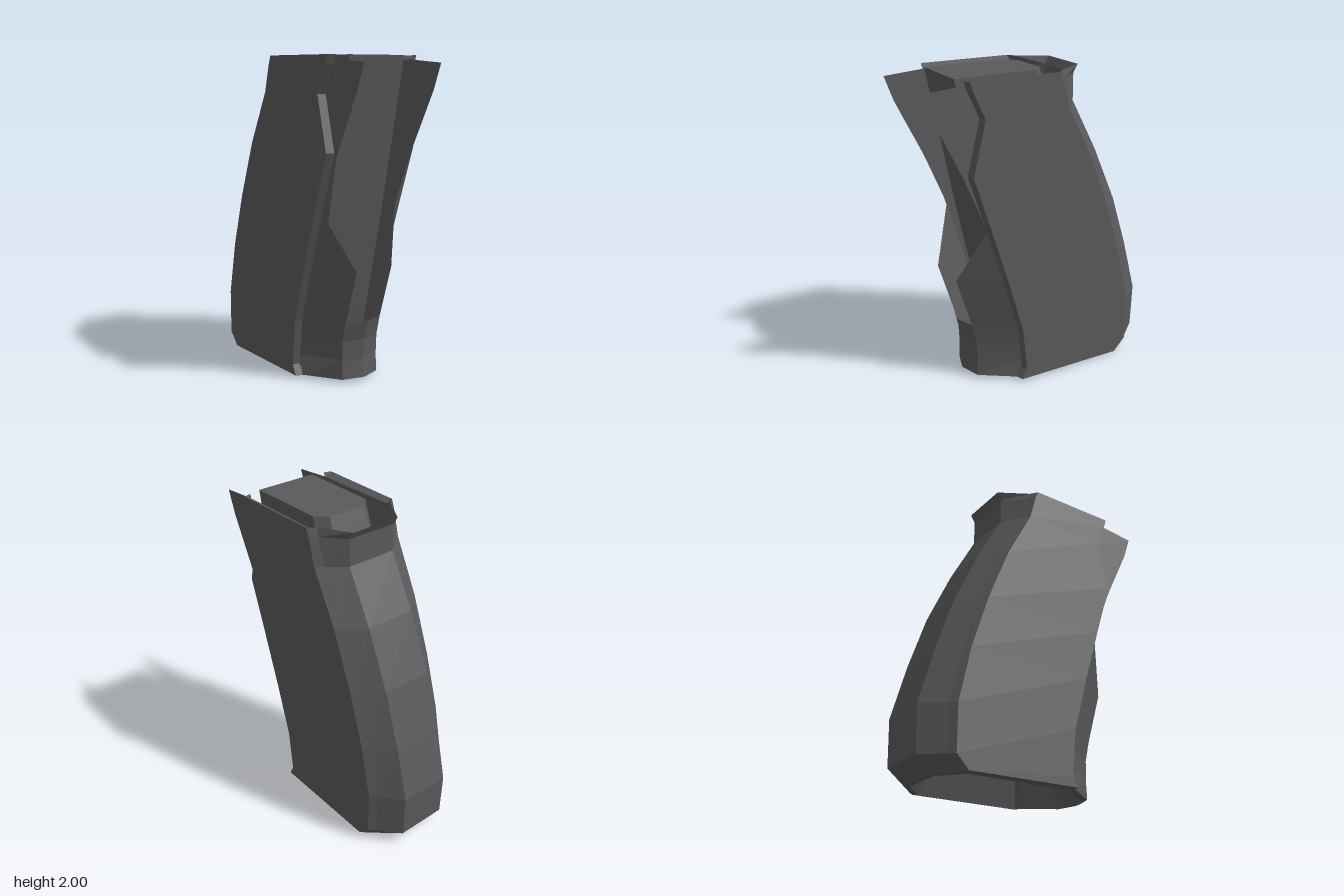
import * as THREE from 'three';

const gripGrey = new THREE.MeshStandardMaterial({ color: 0x5a5a5c, flatShading: true, side: THREE.DoubleSide });
gripGrey.name = 'gripGrey';

// Skin between successive rows of [x, y, z] points
function loft(name, rows, closed = false) {
  const pos = [];
  const n = rows[0].length;
  for (let r = 0; r < rows.length - 1; r++) {
    for (let i = 0; i < (closed ? n : n - 1); i++) {
      const j = (i + 1) % n;
      const a = rows[r][i], b = rows[r][j], c = rows[r + 1][j], d = rows[r + 1][i];
      pos.push(...a, ...d, ...c, ...a, ...c, ...b);
    }
  }
  const geo = new THREE.BufferGeometry();
  geo.setAttribute('position', new THREE.Float32BufferAttribute(pos, 3));
  geo.computeVertexNormals();
  const mesh = new THREE.Mesh(geo, gripGrey);
  mesh.name = name;
  return mesh;
}

// Complete a half section (z > 0) with its mirror image
const mirror = (half) => [...half, ...half.map(([x, y, z]) => [x, y, -z]).reverse()];
const panelZ = (x) => 0.325 + 0.016 * x;

export function createModel() {
  const group = new THREE.Group();
  group.name = 'grip';

  // Shell: y, spine x, panel start x, panel end x
  const shellRows = [
    [2, -0.28, -0.06, 0.53],
    [1.95, -0.25, -0.08, 0.515],
    [1.78, -0.25, -0.125, 0.437],
    [1.45, -0.425, -0.295, 0.52],
    [1.09, -0.585, -0.435, 0.405],
    [0.735, -0.7, -0.545, 0.295],
    [0.38, -0.795, -0.62, 0.195],
    [0.09, -0.785, -0.62, 0.167],
    [0, -0.68, -0.54, 0.2],
  ].map(([y, spine, start, end]) => {
    const low = y === 0 ? 0.025 : 0;
    return mirror([
      [end + 0.015, y + low, 0.285],
      [end, y + low, panelZ(end)],
      [start, y + low * 0.3, panelZ(start)],
      [start - 0.035, y + low * 0.2, 0.278],
      [spine, y, y === 0 ? 0.15 : 0.165],
    ]);
  });
  group.add(loft('outerShell', shellRows));

  // Front strap side wings: y, rear x, front x, front z
  const wingRows = [
    [1.09, 0.41, 0.415, 0.285],
    [0.735, 0.31, 0.56, 0.135],
    [0.4, 0.215, 0.46, 0.135],
    [0.27, 0.19, 0.43, 0.135],
    [0.15, 0.18, 0.425, 0.135],
    [0.025, 0.213, 0.43, 0.135],
  ];
  for (const s of [1, -1]) {
    const rows = wingRows.map(([y, x0, x1, z]) => {
      const row = [[x1, y, s * z], [x0, y, s * 0.285]];
      return s > 0 ? row : row.reverse();
    });
    group.add(loft(s > 0 ? 'leftStrapWing' : 'rightStrapWing', rows));

    // Thin upper plate behind each side panel
    const shape = new THREE.Shape([
      [-0.06, 1.98], [0.53, 1.975], [0.79, 1.955], [0.735, 1.8], [0.56, 1.44],
      [0.415, 1.09], [0.2, 1.09], [-0.25, 1.46],
    ].map(([x, y]) => new THREE.Vector2(x, y)));
    const plate = new THREE.Mesh(new THREE.ShapeGeometry(shape), gripGrey);
    plate.name = s > 0 ? 'leftUpperPlate' : 'rightUpperPlate';
    plate.position.z = s * 0.285;
    group.add(plate);

    // Top edge of each panel
    const edge = [
      [[-0.06, 2, s * 0.324], [0.53, 2, s * 0.333]],
      [[-0.06, 1.98, s * 0.285], [0.53, 1.975, s * 0.285]],
    ];
    group.add(loft(s > 0 ? 'leftPanelTop' : 'rightPanelTop', s > 0 ? edge.reverse() : edge));
  }

  // Lower front strap with a shallow central ridge
  group.add(loft('frontStrap', [
    [0.4, 0.46, 0.505], [0.27, 0.43, 0.467], [0.15, 0.425, 0.46], [0.028, 0.43, 0.475],
  ].map(([y, side, mid]) => [[side, y, -0.135], [mid, y, 0], [side, y, 0.135]])));

  // Inner core: y, rear x, front x
  const coreRows = [
    [2, -0.03, 0.565], [1.8, -0.1, 0.525], [1.46, -0.27, 0.46], [1.1, -0.42, 0.39],
    [0.73, -0.53, 0.31], [0.4, -0.59, 0.24], [0.28, -0.6, 0.21],
  ].map(([y, rear, front]) => mirror([
    [front, y, 0.205], [rear + 0.07, y, 0.2], [rear, y, 0.13],
  ]));
  const collapse = (row, x, y) => row.map(() => [x, y, 0]);
  group.add(loft('innerCore', [collapse(coreRows[0], 0.27, 2), ...coreRows], true));

  // Bottom rim and recess
  const baseHalf = [
    [0.475, 0.028, 0.001], [0.43, 0.025, 0.135], [0.213, 0.025, 0.285], [0.2, 0.025, 0.328],
    [-0.54, 0.0075, 0.316], [-0.575, 0.005, 0.278], [-0.68, 0, 0.15],
  ];
  const baseLoop = (k, kz, lift) => mirror(baseHalf.map(([x, y, z]) =>
    [(x + 0.1) * k - 0.1, Math.max(0, y + lift), z * kz]));
  group.add(loft('bottomRecess', [
    baseLoop(1, 1, 0),
    baseLoop(0.95, 0.88, -0.012),
    baseLoop(0.75, 0.62, 0.25),
    collapse(baseLoop(1, 1, 0), -0.15, 0.27),
  ], true));

  return group;
}
